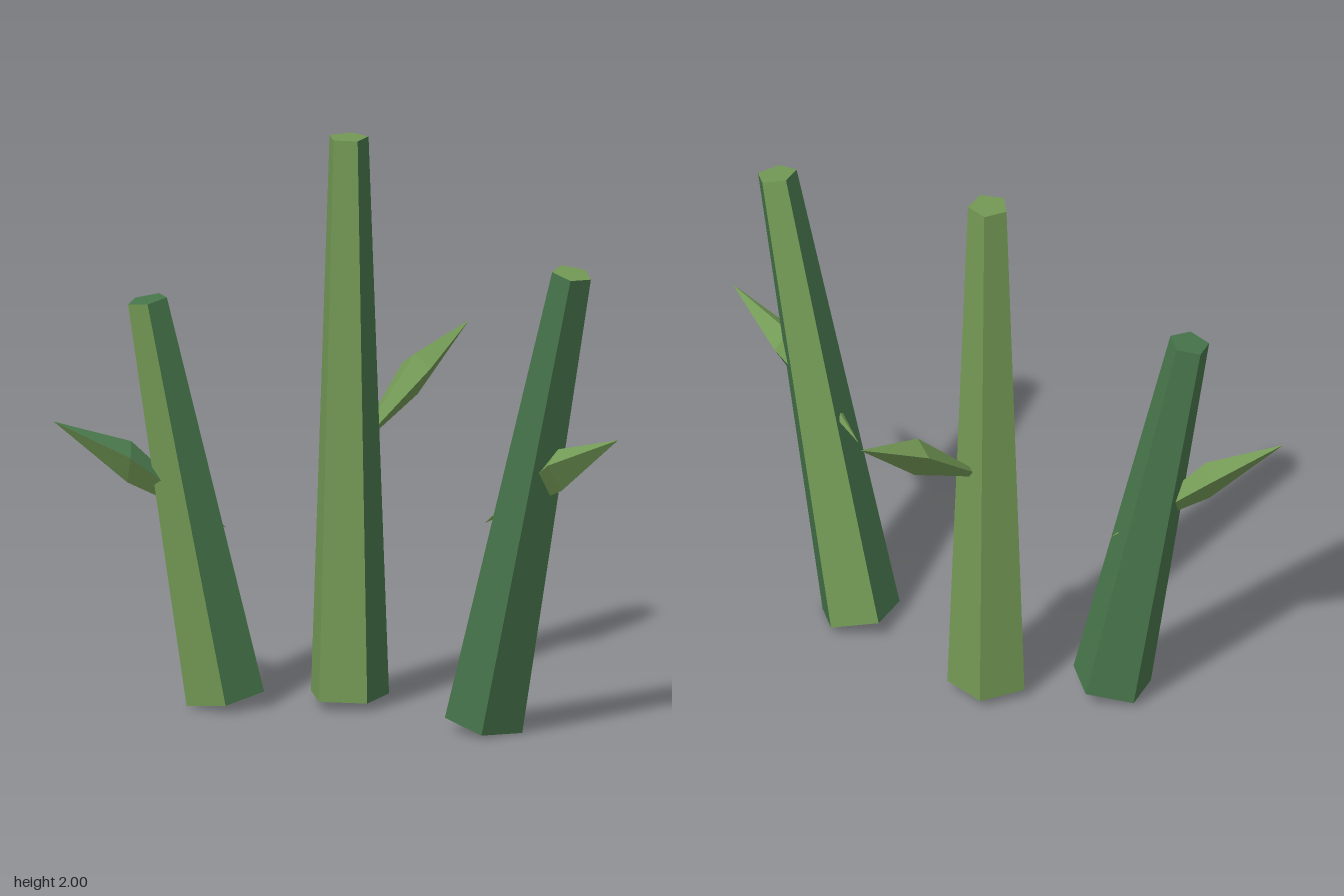
import * as THREE from 'three';

const olive = new THREE.MeshStandardMaterial({ color: 0x739955 });
olive.name = 'olive green';
const deep = new THREE.MeshStandardMaterial({ color: 0x47754b });
deep.name = 'deep green';

// Faceted mesh from convex polygons: faces = [{ pts, deep }]; hard edges throughout
function facetMesh(name, faces) {
  const pos = [];
  const geo = new THREE.BufferGeometry();
  for (const { pts, isDeep } of faces) {
    const start = pos.length / 3;
    for (let i = 1; i < pts.length - 1; i++) {
      for (const p of [pts[0], pts[i], pts[i + 1]]) pos.push(p.x, p.y, p.z);
    }
    geo.addGroup(start, pos.length / 3 - start, isDeep ? 1 : 0);
  }
  geo.setAttribute('position', new THREE.Float32BufferAttribute(pos, 3));
  geo.computeVertexNormals();
  const mesh = new THREE.Mesh(geo, [olive, deep]);
  mesh.name = name;
  return mesh;
}

// Tapered five-sided stalk between two points
function stalk(name, base, top, turn, deepSides, deepCaps) {
  const a = new THREE.Vector3(...base), b = new THREE.Vector3(...top);
  const tilt = new THREE.Quaternion().setFromUnitVectors(
    new THREE.Vector3(0, 1, 0), b.clone().sub(a).normalize());
  const ring = (centre, r) => Array.from({ length: 5 }, (_, i) => {
    const t = THREE.MathUtils.degToRad(turn + i * 72);
    return new THREE.Vector3(r * Math.cos(t), 0, r * Math.sin(t)).applyQuaternion(tilt).add(centre);
  });
  const lo = ring(a, 0.142), hi = ring(b, 0.071);
  const faces = lo.map((p, i) => {
    const j = (i + 1) % 5;
    return { pts: [p, hi[i], hi[j], lo[j]], isDeep: deepSides.includes(i) };
  });
  faces.push({ pts: lo, isDeep: deepCaps }, { pts: [...hi].reverse(), isDeep: deepCaps });
  return facetMesh(name, faces);
}

// Pointed four-sided leaf growing outwards and up from a start point
function leaf(name, start, heading, deepSectors) {
  const t = THREE.MathUtils.degToRad(heading), c = Math.cos(t), s = Math.sin(t);
  const at = (out, up, side) => new THREE.Vector3(
    start[0] + out * c - side * s, start[1] + up, start[2] + out * s + side * c);
  const root = at(0, 0, 0), tip = at(0.592, 0.383, 0);
  const ring = [at(0.326, 0.31, 0), at(0.333, 0.265, 0.067), at(0.34, 0.165, 0), at(0.333, 0.265, -0.067)];
  const faces = [];
  ring.forEach((p, i) => {
    const q = ring[(i + 1) % 4], isDeep = deepSectors.includes(i);
    faces.push({ pts: [p, q, tip], isDeep }, { pts: [q, p, root], isDeep });
  });
  return facetMesh(name, faces);
}

export function createModel() {
  const group = new THREE.Group();
  group.name = 'stalks';
  group.add(
    stalk('tallStalk', [0.07, 0.035, -0.255], [0.07, 2, -0.255], 36, [0], false),
    leaf('tallStalkLeaf', [0.07, 0.872, -0.255], 0, []),
    stalk('frontStalk', [0.128, 0.036, 0.343], [0.164, 1.67, 0.728], -5, [0, 1, 2, 3], false),
    leaf('frontStalkLeaf', [0.13, 0.732, 0.343], 85, [2]),
    stalk('shortStalk', [-0.235, 0.036, -0.545], [-0.435, 1.436, -0.722], -9, [0, 1, 3, 4], true),
    leaf('shortStalkLeaf', [-0.232, 0.628, -0.543], -138.5, [3]),
  );
  return group;
}
